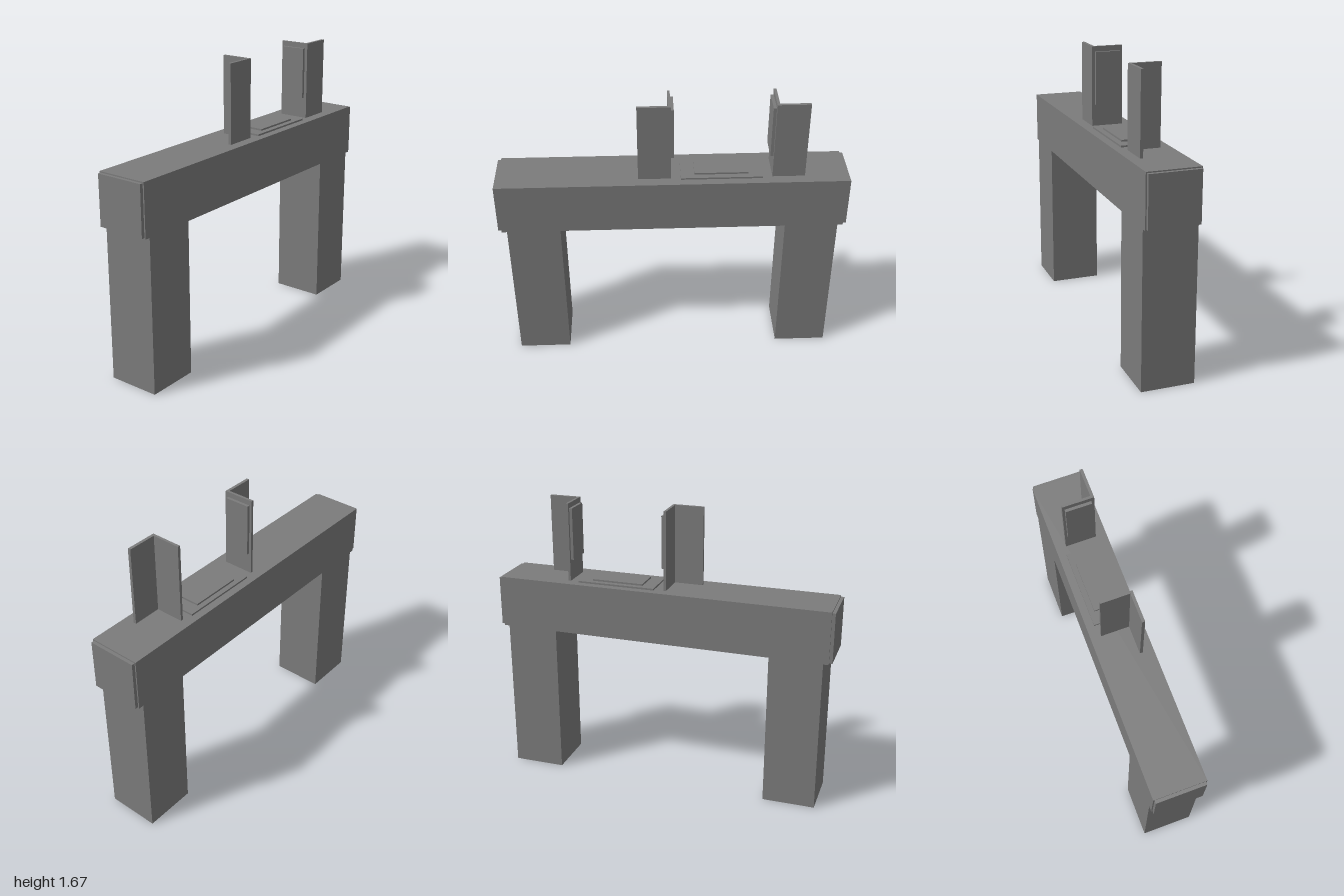
import * as THREE from 'three';

const material = new THREE.MeshStandardMaterial({ color: 0x7b7b7b });

// Box given by its minimum and maximum corners
function slab(name, [x0, y0, z0], [x1, y1, z1]) {
  const mesh = new THREE.Mesh(new THREE.BoxGeometry(x1 - x0, y1 - y0, z1 - z0), material);
  mesh.name = name;
  mesh.position.set((x0 + x1) / 2, (y0 + y1) / 2, (z0 + z1) / 2);
  return mesh;
}

// Square hollow section running along +z
function squareTube(name, size, wall, length) {
  const square = (path, h) => path.moveTo(-h, -h).lineTo(h, -h).lineTo(h, h).lineTo(-h, h).closePath();
  const shape = square(new THREE.Shape(), size / 2);
  shape.holes.push(square(new THREE.Path(), size / 2 - wall));
  const geometry = new THREE.ExtrudeGeometry(shape, { depth: length, bevelEnabled: false });
  const mesh = new THREE.Mesh(geometry, material);
  mesh.name = name;
  return mesh;
}

export function createModel() {
  const model = new THREE.Group();
  model.name = 'clampStand';
  const size = 0.305, wall = 0.019, beamBottom = 0.905, beamTop = 1.21;
  const fixtureZ = -0.276;

  // Horizontal beam
  const beam = squareTube('beam', size, wall, 1.962);
  beam.position.set(0, (beamBottom + beamTop) / 2, -0.981);
  model.add(beam);

  for (const s of [1, -1]) {
    const end = s > 0 ? 'front' : 'back';

    // Hollow leg, open at the foot
    const leg = squareTube(end + 'Leg', size, wall, beamBottom);
    leg.rotation.x = -Math.PI / 2;
    leg.position.z = s * 0.798;
    model.add(leg);

    // Cap on the beam end
    const cap = slab(end + 'EndCap', [-0.145, 0.912, -0.0095], [0.145, 1.203, 0.0095]);
    cap.position.z = s * 0.9905;
    model.add(cap);

    // Upright angle bracket with a pad on its inner face
    const bracket = new THREE.Group();
    bracket.name = end + 'Bracket';
    const parts = [
      slab('web', [-0.092, beamTop, 0.286], [0.09, 1.67, 0.301]),
      slab('flange', [0.073, beamTop, 0.301], [0.09, 1.67, 0.47]),
      slab('pad', [-0.078, 1.335, 0.269], [0.072, 1.64, 0.286]),
    ];
    for (const part of parts) {
      part.position.z *= s;
      bracket.add(part);
    }
    bracket.position.z = fixtureZ;
    model.add(bracket);
  }

  // Stepped plates on the beam between the brackets
  model.add(
    slab('basePlate', [-0.108, beamTop, fixtureZ - 0.23], [0.105, 1.22, fixtureZ + 0.23]),
    slab('topPad', [-0.078, 1.22, fixtureZ - 0.153], [0.072, 1.23, fixtureZ + 0.153]),
  );
  return model;
}
